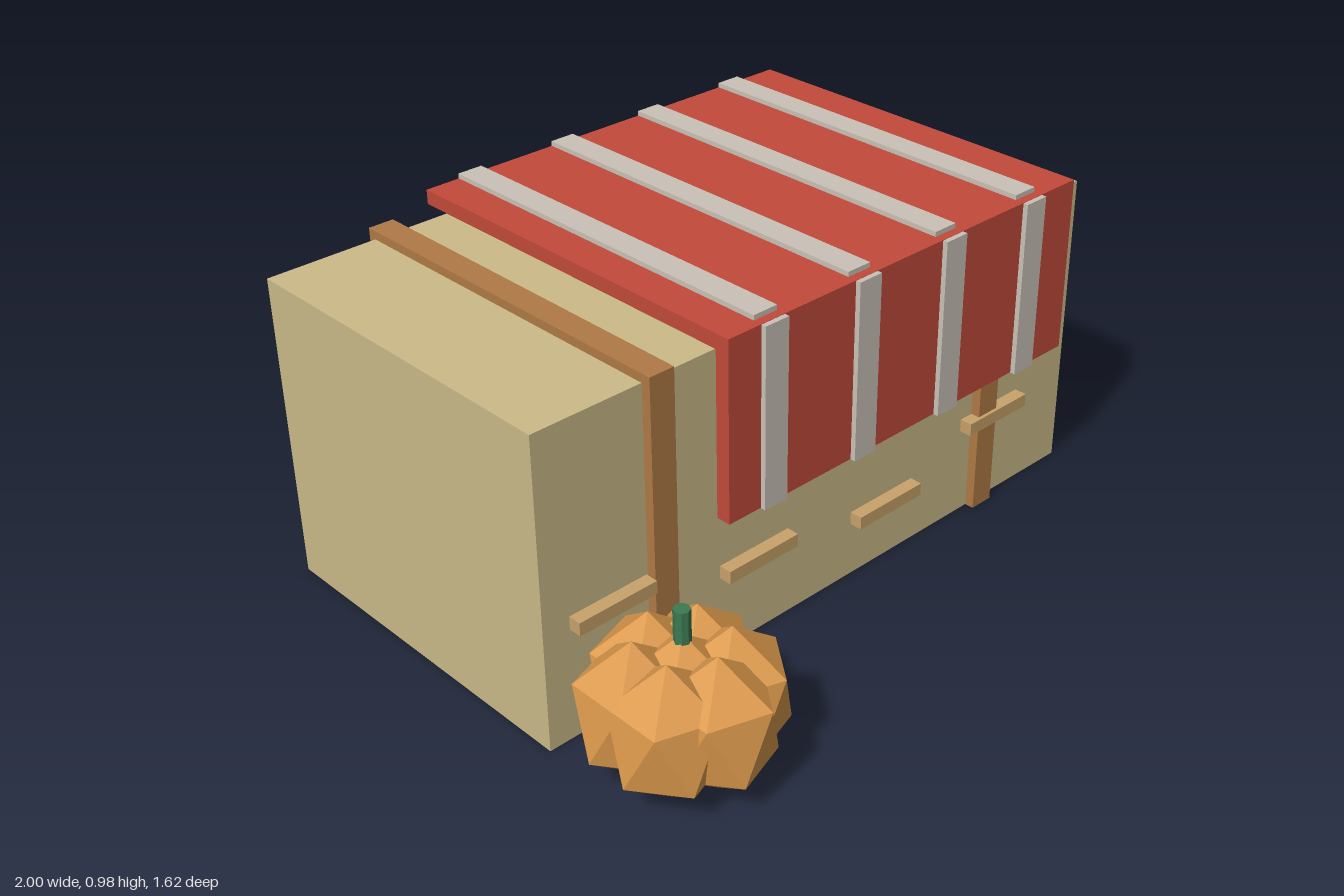
import * as THREE from 'three';

const mat = (name, color, flatShading = false) => {
  const m = new THREE.MeshStandardMaterial({ color, flatShading });
  m.name = name;
  return m;
};

export function createModel() {
  const model = new THREE.Group();
  model.name = 'hayBaleWithPumpkin';
  const hay = mat('hay', 0xcbba88);
  const twine = mat('twine', 0xb07a46);
  const straw = mat('straw', 0xc8a26a);
  const red = mat('blanketRed', 0xc24a3a);
  const pale = mat('stripePale', 0xcac2b8);
  const orange = mat('pumpkinOrange', 0xdc994c, true);
  const green = mat('stemGreen', 0x3a7a50, true);

  // Box given by its minimum and maximum corners
  const box = (name, m, [x0, y0, z0], [x1, y1, z1], parent = model) => {
    const mesh = new THREE.Mesh(new THREE.BoxGeometry(x1 - x0, y1 - y0, z1 - z0), m);
    mesh.position.set((x0 + x1) / 2, (y0 + y1) / 2, (z0 + z1) / 2);
    mesh.name = name;
    parent.add(mesh);
  };

  // Bale and the two bands around it
  box('bale', hay, [-0.96, 0, -0.77], [1, 0.9, 0.29]);
  for (const x of [-0.593, 0.632]) {
    box('twineBand', twine, [x - 0.038, 0, -0.795], [x + 0.038, 0.925, 0.318]);
  }

  // Loose straws on the front face
  for (const [x, y] of [[-0.757, 0.345], [-0.268, 0.248], [0.22, 0.184], [0.67, 0.288]]) {
    box('looseStraw', straw, [x - 0.122, y - 0.019, 0.285], [x + 0.122, y + 0.019, 0.328]);
  }

  // Blanket over the top, hanging down the front
  const blanket = new THREE.Group();
  blanket.name = 'blanket';
  model.add(blanket);
  box('blanketTop', red, [-0.43, 0.925, -0.81], [0.875, 0.967, 0.325], blanket);
  box('blanketFront', red, [-0.43, 0.45, 0.325], [0.875, 0.967, 0.368], blanket);
  for (let i = 0; i < 4; i++) {
    const x = -0.283 + i * 0.326;
    box('stripeTop', pale, [x - 0.039, 0.96, -0.811], [x + 0.039, 0.981, 0.342], blanket);
    box('stripeFront', pale, [x - 0.039, 0.449, 0.36], [x + 0.039, 0.966, 0.383], blanket);
  }

  // Pumpkin: a ring of faceted lobes around a middle one
  const pumpkin = new THREE.Group();
  pumpkin.name = 'pumpkin';
  pumpkin.position.set(-0.755, 0, 0.55);
  model.add(pumpkin);
  const lobeGeo = new THREE.IcosahedronGeometry(1, 0);
  lobeGeo.rotateZ(-Math.atan(2 / (1 + Math.sqrt(5)))); // one corner straight up
  lobeGeo.scale(0.158, 0.195, 0.158);
  for (let i = 0; i < 7; i++) {
    const r = i < 6 ? 0.12 : 0, a = i * Math.PI / 3;
    const lobe = new THREE.Mesh(lobeGeo, orange);
    lobe.name = 'pumpkinLobe';
    lobe.position.set(r * Math.sin(a), 0.195, r * Math.cos(a));
    pumpkin.add(lobe);
  }
  const stem = new THREE.Mesh(new THREE.CylinderGeometry(0.022, 0.022, 0.16, 8), green);
  stem.name = 'pumpkinStem';
  stem.position.y = 0.382;
  pumpkin.add(stem);

  return model;
}
